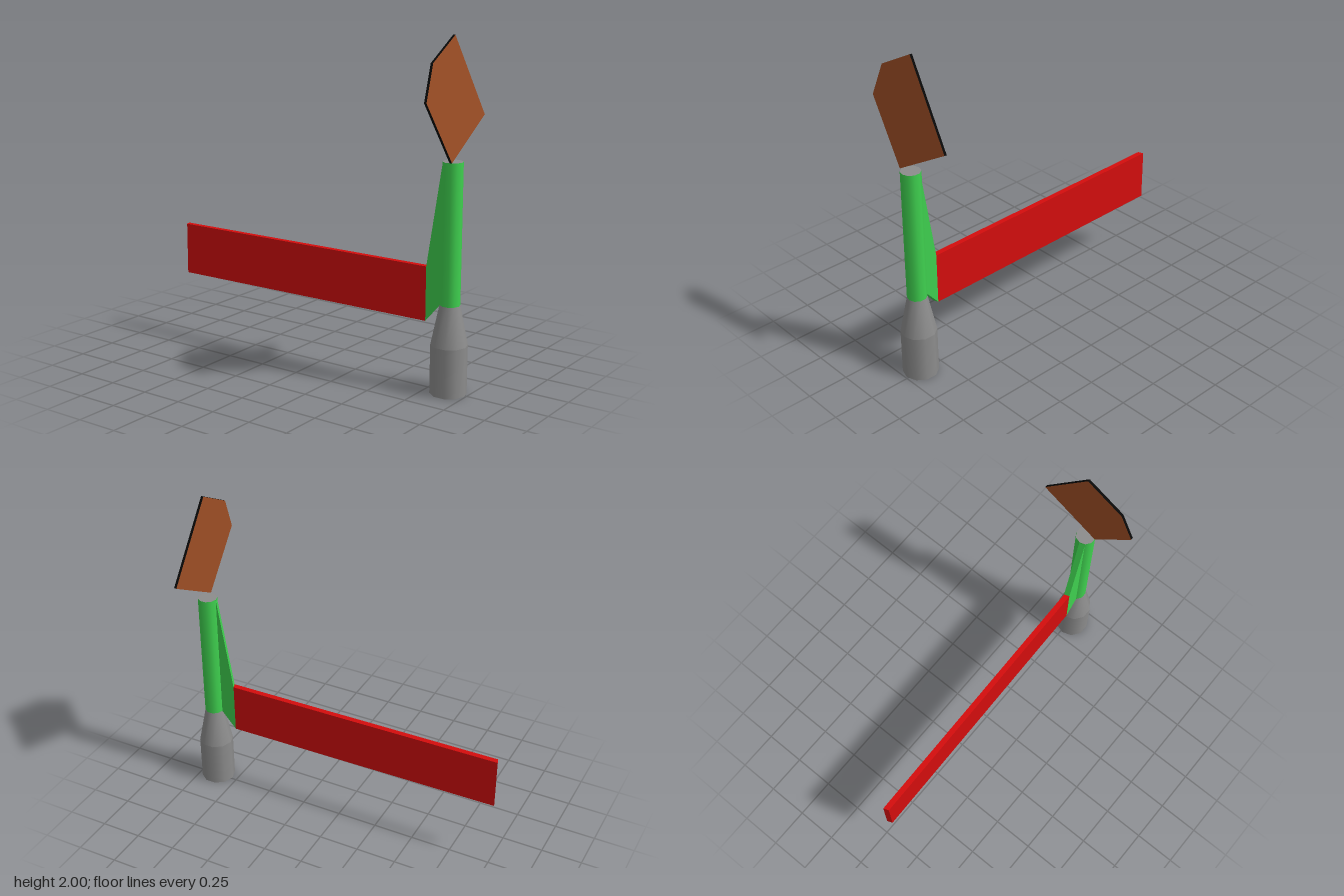
import * as THREE from 'three';

const paint = (name, color) => {
  const m = new THREE.MeshStandardMaterial({ color });
  m.name = name;
  return m;
};

// Flat sheet: an outline placed on skewed axes, with its thickness along ez
function sheet(name, outline, [ex, ey, ez, origin], material) {
  const shape = new THREE.Shape(outline.map(([x, y]) => new THREE.Vector2(x, y)));
  const geometry = new THREE.ExtrudeGeometry(shape, { depth: 1, bevelEnabled: false });
  const v = (a) => new THREE.Vector3(...a);
  geometry.applyMatrix4(new THREE.Matrix4().makeBasis(v(ex), v(ey), v(ez)).setPosition(...origin));
  geometry.computeVertexNormals();
  const mesh = new THREE.Mesh(geometry, material);
  mesh.name = name;
  return mesh;
}

export function createModel() {
  const group = new THREE.Group();
  const grey = paint('grey', 0x8c8c8c);
  const green = paint('green', 0x3fd14f);
  const red = paint('red', 0xd40d0d);
  const brown = paint('brown', 0xa05026);
  const black = paint('black', 0x080808);

  // Ten-sided upright: grey foot, tapered collar, green post with grey cap
  const SIDES = 10;
  const upright = (name, rTop, rBottom, y0, y1, open, material) => {
    const geometry = new THREE.CylinderGeometry(rTop, rBottom, y1 - y0, SIDES, 1, open, Math.PI / 2);
    const mesh = new THREE.Mesh(geometry, material);
    mesh.position.set(0.887, (y0 + y1) / 2, 0.012);
    mesh.name = name;
    group.add(mesh);
  };
  upright('foot', 0.105, 0.105, 0, 0.285, false, grey);
  upright('collar', 0.058, 0.105, 0.285, 0.515, true, grey);
  upright('post', 0.058, 0.058, 0.515, 1.322, false, [green, grey, grey]);

  // Long red arm and the green fin joining it to the post, in one slightly turned plane
  const armAxes = [[1, 0, -0.0144], [0, 1, 0], [0.012, 0, 0.033], [-0.012, 0, 0.023]];
  group.add(sheet('arm', [[-0.985, 0.405], [0.75, 0.405], [0.75, 0.72], [-0.985, 0.72]], armAxes, red));
  group.add(sheet('fin',
    [[0.75, 0.405], [0.86, 0.535], [0.86, 1.321], [0.842, 1.321], [0.75, 0.72]], armAxes, green));

  // Leaning five-cornered brown panel with a black rim
  const panelAxes = [[0.006, 0, -1], [-0.0634, 1, 0], [0.015, 0.001, 0], [0.983, 0, 0]];
  group.add(sheet('panel',
    [[-0.07, 1.322], [0.3, 1.54], [0.01, 2], [-0.225, 1.872], [-0.305, 1.672]], panelAxes, [brown, black]));

  return group;
}
